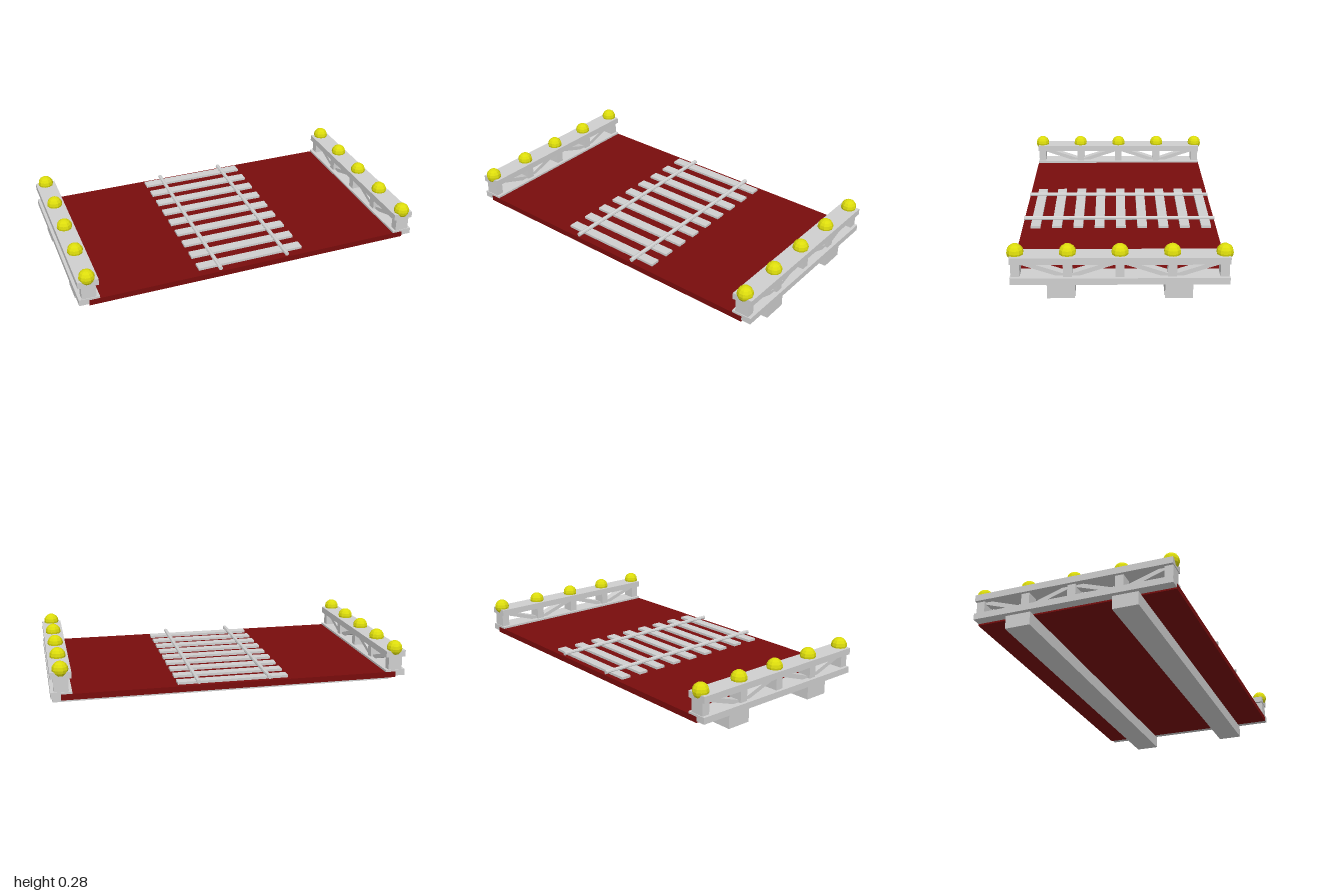
import * as THREE from 'three';

const grey = new THREE.MeshStandardMaterial({ color: 0xcfcfcf, flatShading: true });
grey.name = 'pale grey';
const red = new THREE.MeshStandardMaterial({ color: 0x780c0c, flatShading: true });
red.name = 'dark red';
const yellow = new THREE.MeshStandardMaterial({ color: 0xdcdc0c, flatShading: true });
yellow.name = 'lamp yellow';

function add(parent, name, geometry, material, x, y, z) {
  const mesh = new THREE.Mesh(geometry, material);
  mesh.name = name;
  mesh.position.set(x, y, z);
  parent.add(mesh);
  return mesh;
}

// Box given by its width, depth and bottom/top heights
function slab(parent, name, material, x, z, w, d, y0, y1) {
  return add(parent, name, new THREE.BoxGeometry(w, y1 - y0, d), material, x, (y0 + y1) / 2, z);
}

// Side truss: two chords, posts, diagonals and lamps
function truss(side) {
  const g = new THREE.Group();
  g.name = side > 0 ? 'leftTruss' : 'rightTruss';
  const x = side * 0.942, lo = 0.118, hi = 0.192, step = 0.265;
  slab(g, 'lowerChord', grey, x, 0, 0.115, 1.114, 0.082, lo);
  slab(g, 'upperChord', grey, x, 0, 0.115, 1.114, hi, 0.229);
  const lamp = new THREE.SphereGeometry(0.0445, 10, 8);
  for (let i = -2; i <= 2; i++) {
    slab(g, 'post', grey, x, i * step, 0.08, 0.046, lo, hi);
    add(g, 'lamp', lamp, yellow, x, 0.239, i * step);
  }
  // Each diagonal drops from a high end to the foot of the intermediate post
  for (const end of [-1, 1]) {
    for (const top of [0, 2]) {
      const za = end * step * top + Math.sign(1 - top) * end * 0.023;
      const zb = end * step - Math.sign(1 - top) * end * 0.023;
      const dz = zb - za, dy = lo - hi;
      const brace = add(g, 'diagonal', new THREE.BoxGeometry(0.05, 0.024, Math.hypot(dz, dy) + 0.015),
        grey, x, (lo + hi) / 2, (za + zb) / 2);
      brace.rotation.x = -Math.atan(dy / dz);
    }
  }
  return g;
}

export function createModel() {
  const model = new THREE.Group();
  model.name = 'bridgeSpan';

  // Deck and the two cross beams beneath it
  slab(model, 'deck', red, 0, 0, 1.888, 1.116, 0.073, 0.106);
  for (const z of [-0.3, 0.3]) slab(model, 'crossBeam', grey, 0, z, 1.972, 0.142, 0, 0.075);

  // Track
  for (let i = 0; i < 9; i++) slab(model, 'sleeper', grey, 0, -0.5 + i * 0.1228, 0.626, 0.056, 0.104, 0.12);
  for (const x of [-0.2, 0.2]) {
    const rail = add(model, 'rail', new THREE.CylinderGeometry(0.012, 0.012, 1.114, 8), grey, x, 0.124, 0);
    rail.rotation.x = Math.PI / 2;
  }

  for (const side of [-1, 1]) model.add(truss(side));
  return model;
}
